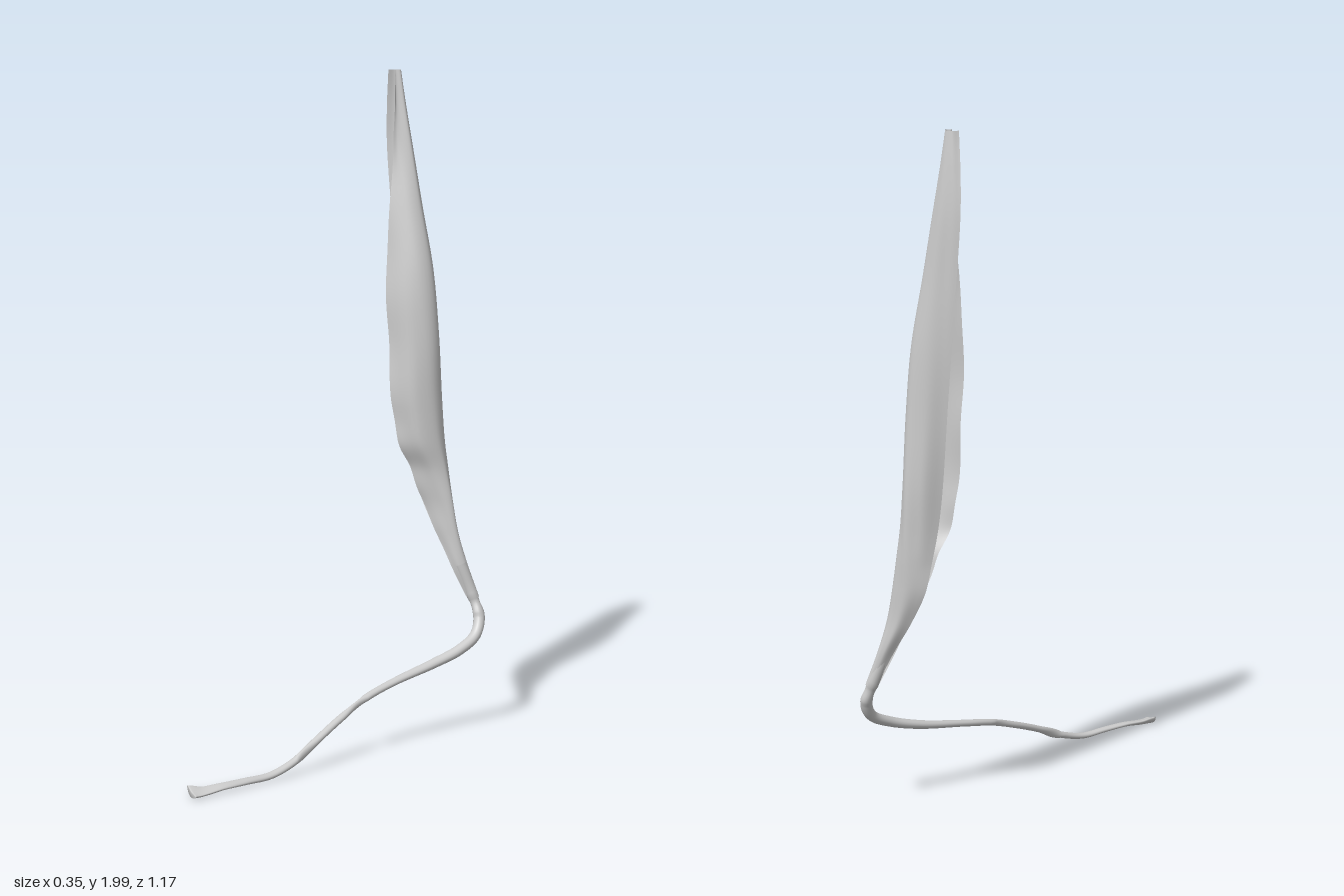
import * as THREE from 'three';

const material = new THREE.MeshStandardMaterial({ color: 0xcccccc, side: THREE.DoubleSide });

// Smooth surface from rows of points; every row has the same length
function loft(name, rows, closed) {
  const n = rows[0].length, cols = closed ? n : n - 1;
  const index = [];
  for (let i = 0; i < rows.length - 1; i++) {
    for (let j = 0; j < cols; j++) {
      const a = i * n + j, b = i * n + (j + 1) % n;
      index.push(a, a + n, b, b, a + n, b + n);
    }
  }
  const geometry = new THREE.BufferGeometry().setFromPoints(rows.flat());
  geometry.setIndex(index);
  geometry.computeVertexNormals();
  const mesh = new THREE.Mesh(geometry, material);
  mesh.name = name;
  return mesh;
}

// Curled blade: an open C-shaped section that closes into the stalk
function makeBlade() {
  // y, min x, max x, min z, max z, z of the back edge, x of the front edge
  const sections = [
    [2.00, -0.160, -0.118, -0.490, -0.462, -0.472, -0.122],
    [1.90, -0.172, -0.103, -0.500, -0.457, -0.480, -0.120],
    [1.78, -0.178, -0.080, -0.510, -0.449, -0.487, -0.117],
    [1.60, -0.165, -0.042, -0.520, -0.431, -0.490, -0.113],
    [1.40, -0.145, 0.000, -0.535, -0.410, -0.490, -0.110],
    [1.20, -0.121, 0.020, -0.542, -0.404, -0.487, -0.096],
    [1.00, -0.098, 0.026, -0.550, -0.404, -0.485, -0.080],
    [0.88, -0.083, 0.034, -0.550, -0.418, -0.490, -0.064],
    [0.79, -0.070, 0.046, -0.549, -0.455, -0.500, -0.045],
    [0.70, -0.054, 0.064, -0.546, -0.478, -0.510, -0.022],
    [0.60, 0.000, 0.082, -0.546, -0.496, -0.515, 0.020],
    [0.50, 0.060, 0.106, -0.560, -0.512, -0.530, 0.068],
    [0.40, 0.104, 0.138, -0.575, -0.541, -0.555, 0.108]
  ];
  const columns = Array.from({ length: 7 }, () => []);
  for (const [y, x0, x1, z0, z1, zA, xB] of sections) {
    const w = x1 - x0, d = z1 - z0;
    [[x0, zA], [x0 + 0.28 * w, z0 + 0.13 * d], [x0 + 0.62 * w, z0], [x0 + 0.92 * w, z0 + 0.15 * d],
      [x1, z0 + 0.42 * d], [x0 + 0.75 * w, z0 + 0.8 * d], [xB, z1]]
      .forEach(([x, z], k) => columns[k].push(new THREE.Vector3(x, y, z)));
  }
  const rails = columns.map(points => new THREE.CatmullRomCurve3(points));
  const rows = [];
  const steps = 110, around = 32;
  for (let i = 0; i <= steps; i++) {
    const t = i / steps;
    const section = new THREE.CatmullRomCurve3(rails.map(rail => rail.getPoint(t)));
    const row = [];
    for (let j = 0; j <= around; j++) {
      const u = j / around, p = section.getPoint(u);
      // Shallow veins and a slightly uneven rim
      const fade = Math.sin(Math.PI * t);
      p.z += 0.0016 * fade * Math.sin(u * 30 + t * 14);
      p.z += 0.003 * fade * Math.pow(u, 8) * Math.sin(t * 55);
      row.push(p);
    }
    rows.push(row);
  }
  return loft('leafBlade', rows, false);
}

// Slightly flattened stalk, bent at the elbow and flared at the foot
function makeStalk() {
  // x, y, z, half width, half thickness
  const stations = [
    [0.088, 0.50, -0.536, 0.019, 0.019],
    [0.120, 0.40, -0.558, 0.018, 0.017],
    [0.146, 0.34, -0.558, 0.018, 0.017],
    [0.158, 0.29, -0.527, 0.018, 0.016],
    [0.153, 0.255, -0.460, 0.018, 0.015],
    [0.130, 0.225, -0.360, 0.018, 0.013],
    [0.108, 0.195, -0.210, 0.015, 0.010],
    [0.102, 0.168, -0.090, 0.013, 0.010],
    [0.104, 0.130, 0.020, 0.013, 0.010],
    [0.108, 0.090, 0.120, 0.013, 0.010],
    [0.109, 0.045, 0.220, 0.013, 0.010],
    [0.099, 0.020, 0.310, 0.014, 0.009],
    [0.086, 0.020, 0.400, 0.016, 0.008],
    [0.072, 0.020, 0.480, 0.018, 0.007],
    [0.058, 0.016, 0.540, 0.022, 0.007],
    [0.046, 0.019, 0.577, 0.030, 0.008]
  ];
  const path = new THREE.CatmullRomCurve3(stations.map(s => new THREE.Vector3(s[0], s[1], s[2])));
  const sizes = new THREE.CatmullRomCurve3(stations.map(s => new THREE.Vector3(s[3], s[4], 0)));
  const reference = new THREE.Vector3(0, 1, 1);
  const rows = [];
  const steps = 120, sides = 16;
  for (let i = 0; i <= steps; i++) {
    const t = i / steps;
    const centre = path.getPoint(t), size = sizes.getPoint(t);
    const tangent = path.getTangent(t);
    const side = new THREE.Vector3().crossVectors(reference, tangent).normalize();
    const up = new THREE.Vector3().crossVectors(tangent, side);
    const flare = Math.max(0, (t - 0.85) / 0.15);
    const row = [];
    for (let j = 0; j < sides; j++) {
      const a = j / sides * Math.PI * 2, c = Math.cos(a);
      // The foot is dished, with its edges turned up
      const lift = size.y * Math.sin(a) + 0.009 * flare * (c * c - 0.5);
      row.push(centre.clone().addScaledVector(side, size.x * c).addScaledVector(up, lift));
    }
    rows.push(row);
  }
  // Close the foot
  const end = path.getPoint(1);
  rows.push(rows[steps].map(() => end.clone()));
  return loft('stalk', rows, true);
}

export function createModel() {
  const group = new THREE.Group();
  group.name = 'curledLeaf';
  group.add(makeBlade(), makeStalk());
  return group;
}
